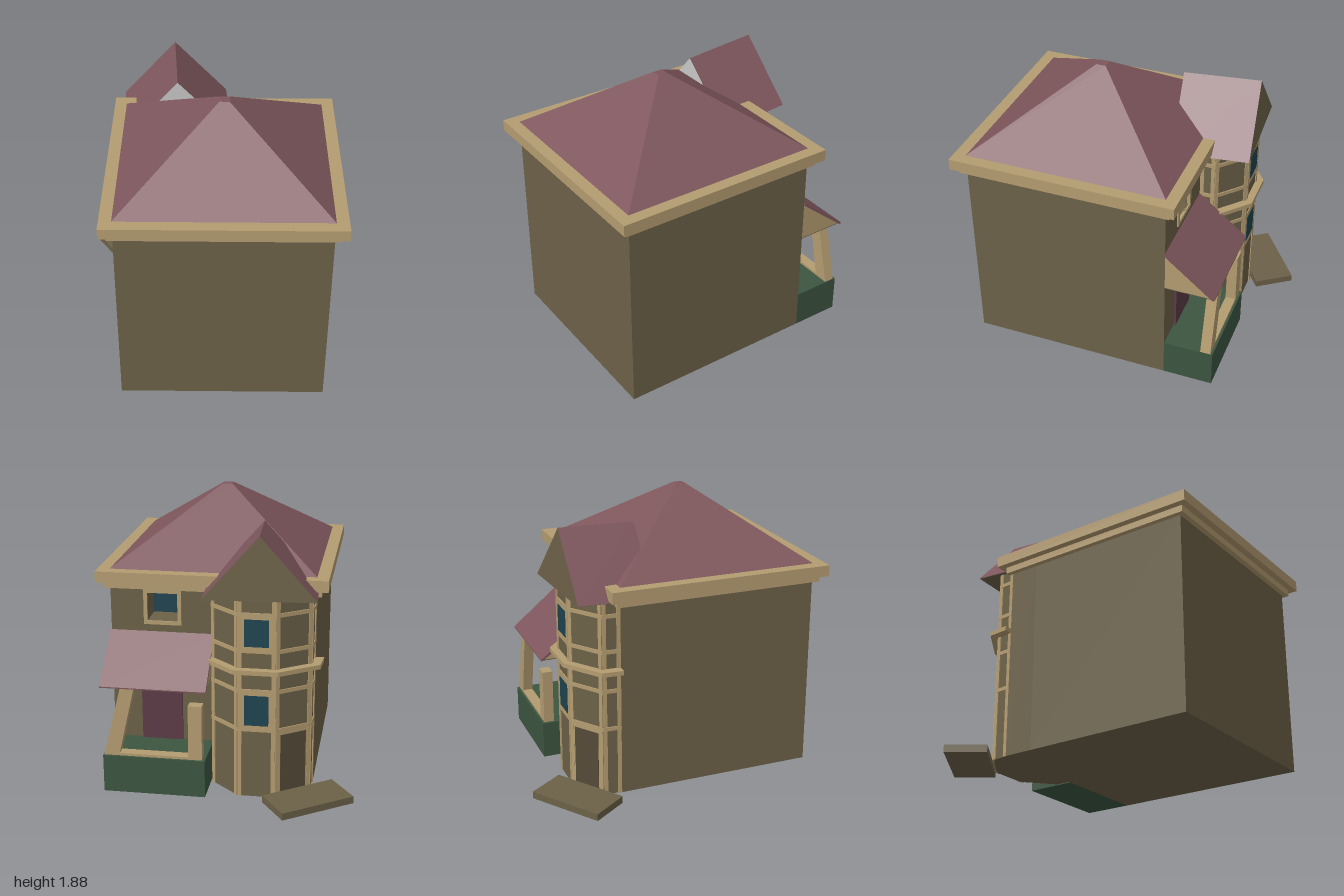
import * as THREE from 'three';

const mat = (color) => new THREE.MeshStandardMaterial({ color, flatShading: true });

export function createModel() {
  const house = new THREE.Group();
  const olive = mat(0x6c6148), tan = mat(0xb49c70), roofRed = mat(0x7d565c), green = mat(0x3c5540);
  const glass = mat(0x1f4450), doorRed = mat(0x5c3b46), doorBrown = mat(0x554a38), grey = mat(0xcccccc);

  const add = (name, geo, material, parent = house) => {
    const m = new THREE.Mesh(geo, material);
    m.name = name;
    parent.add(m);
    return m;
  };
  // Box given by its lower and upper limits on each axis
  const box = (name, material, x0, x1, y0, y1, z0, z1) => {
    const m = add(name, new THREE.BoxGeometry(x1 - x0, y1 - y0, z1 - z0), material);
    m.position.set((x0 + x1) / 2, (y0 + y1) / 2, (z0 + z1) / 2);
    return m;
  };
  const polygon = (pts) => new THREE.Shape(pts.map((p) => new THREE.Vector2(p[0], p[1])));
  const extrude = (shape, depth) => new THREE.ExtrudeGeometry(shape, { depth, bevelEnabled: false });

  // Main block, with a back wall pierced by the deep upper window
  box('mainBlock', olive, -0.57, 0.78, 0, 1.31, -0.23, 0.92);
  const wall = polygon([[-0.57, 0], [0.78, 0], [0.78, 1.31], [-0.57, 1.31]]);
  wall.holes.push(new THREE.Path([[0.335, 1.09], [0.335, 1.28], [0.535, 1.28], [0.535, 1.09]]
    .map((p) => new THREE.Vector2(p[0], p[1]))));
  add('backWall', extrude(wall, 0.2), olive).position.z = -0.43;
  box('upperWindowGlass', glass, 0.335, 0.535, 1.09, 1.28, -0.245, -0.225);
  for (const x of [0.31, 0.535]) box('upperWindowJamb', tan, x, x + 0.025, 1.065, 1.305, -0.44, -0.42);
  for (const y of [1.065, 1.28]) box('upperWindowRail', tan, 0.335, 0.535, y, y + 0.025, -0.44, -0.42);

  // Stepped cornice
  box('lowerCornice', tan, -0.605, 0.815, 1.31, 1.355, -0.465, 0.955);
  box('upperCornice', tan, -0.65, 0.86, 1.355, 1.43, -0.51, 1.0);

  // Hipped roof with a small flat top
  const hip = new THREE.CylinderGeometry(0.0325 * Math.SQRT2, 0.675 * Math.SQRT2, 0.45, 4);
  hip.rotateY(Math.PI / 4);
  add('mainRoof', hip, roofRed).position.set(0.105, 1.655, 0.245);

  // Faceted bay tower; plan points are x, z
  const plan = [[0.09, -0.43], [0.09, -0.53], [-0.10, -0.70], [-0.344, -0.70], [-0.556, -0.55], [-0.566, -0.43]];
  const ring = (name, material, y0, y1, out) => {
    const s = 1 + out / 0.27;
    const shape = polygon(plan.map(([x, z]) => [-0.235 + (x + 0.235) * s, 0.43 - (z + 0.43) * s]));
    const g = extrude(shape, y1 - y0).rotateX(-Math.PI / 2);
    add(name, g, material).position.y = y0;
  };
  ring('bayWall', olive, 0, 1.36, 0);
  for (const y of [0.475, 0.74, 1.01, 1.25]) ring('bayBand', tan, y - 0.013, y + 0.013, 0.007);
  ring('bayCornice', tan, 0.865, 0.895, 0.05);

  // Flat panel on bay facet i, between fractions u0 and u1 of its width
  const panel = (name, material, i, u0, u1, y0, y1, thick) => {
    const [a, b] = [plan[i], plan[i + 1]];
    const dx = b[0] - a[0], dz = b[1] - a[1], u = (u0 + u1) / 2;
    const m = add(name, new THREE.BoxGeometry(Math.hypot(dx, dz) * (u1 - u0), y1 - y0, thick), material);
    m.position.set(a[0] + dx * u, (y0 + y1) / 2, a[1] + dz * u);
    m.rotation.y = -Math.atan2(dz, dx);
  };
  for (let i = 0; i < plan.length - 1; i++) {
    const w = 0.026 / Math.hypot(plan[i + 1][0] - plan[i][0], plan[i + 1][1] - plan[i][1]);
    panel('bayPilaster', tan, i, 0, w, 0, 1.35, 0.014);
    panel('bayPilaster', tan, i, 1 - w, 1, 0, 1.35, 0.014);
  }
  for (const [y0, y1] of [[0.475, 0.74], [1.01, 1.25]]) {
    panel('bayWindowFrame', tan, 2, 0.1, 0.9, y0, y1, 0.012);
    panel('bayWindowGlass', glass, 2, 0.18, 0.82, y0 + 0.03, y1 - 0.03, 0.018);
  }
  panel('bayDoorFrame', tan, 3, 0.08, 0.92, 0, 0.465, 0.012);
  panel('bayDoor', doorBrown, 3, 0.14, 0.86, 0.03, 0.44, 0.018);

  // Gabled roof over the bay, turned and tipped slightly
  const gable = new THREE.Group();
  gable.name = 'bayRoof';
  gable.position.set(-0.24, 1.352, -0.738);
  gable.rotation.set(0.045, 0.065, 0, 'YXZ');
  house.add(gable);
  const tri = polygon([[-0.361, 0], [0.361, 0], [0, 0.405]]);
  add('gableRoof', extrude(tri, 0.52), [olive, roofRed], gable);
  add('gableFront', new THREE.ShapeGeometry(tri), grey, gable).position.z = 0.522;
  const soffit = add('gableSoffit', new THREE.BoxGeometry(0.715, 0.004, 0.518), olive, gable);
  soffit.position.set(0, -0.001, 0.26);

  // Step in front of the bay door
  const step = add('doorStep', new THREE.BoxGeometry(0.524, 0.048, 0.276), olive);
  step.position.set(-0.565, 0.024, -0.7375);
  step.rotation.y = 0.61;

  // Porch base, sill and door
  box('porchBase', green, 0.105, 0.78, 0, 0.255, -0.765, -0.43);
  box('porchSill', tan, 0.13, 0.76, 0.255, 0.272, -0.75, -0.68);
  box('porchDoor', doorRed, 0.31, 0.585, 0.255, 0.7, -0.445, -0.43);

  // Lean-to porch roof: side profile drawn as (z, y) and swept along x
  const sweep = (name, material, pts, x0, x1) => {
    const g = extrude(polygon(pts.map(([z, y]) => [-z, y])), x1 - x0).rotateY(Math.PI / 2);
    add(name, g, material).position.x = x0;
  };
  sweep('porchGable', tan, [[-0.43, 0.735], [-0.75, 0.735], [-0.43, 1.0]], 0.105, 0.78);
  sweep('porchRoof', roofRed, [[-0.43, 0.995], [-0.75, 0.73], [-0.765, 0.73], [-0.765, 0.738], [-0.43, 1.015]], 0.095, 0.79);
  box('porchCeiling', olive, 0.107, 0.778, 0.728, 0.736, -0.75, -0.43);

  // Porch posts: one short and upright, one leaning inward
  box('shortPost', tan, 0.125, 0.215, 0.255, 0.63, -0.75, -0.68);
  const lean = extrude(polygon([[0.675, 0.255], [0.775, 0.255], [0.655, 0.735], [0.565, 0.735]]), 0.07);
  add('leaningPost', lean, tan).position.z = -0.75;

  return house;
}
